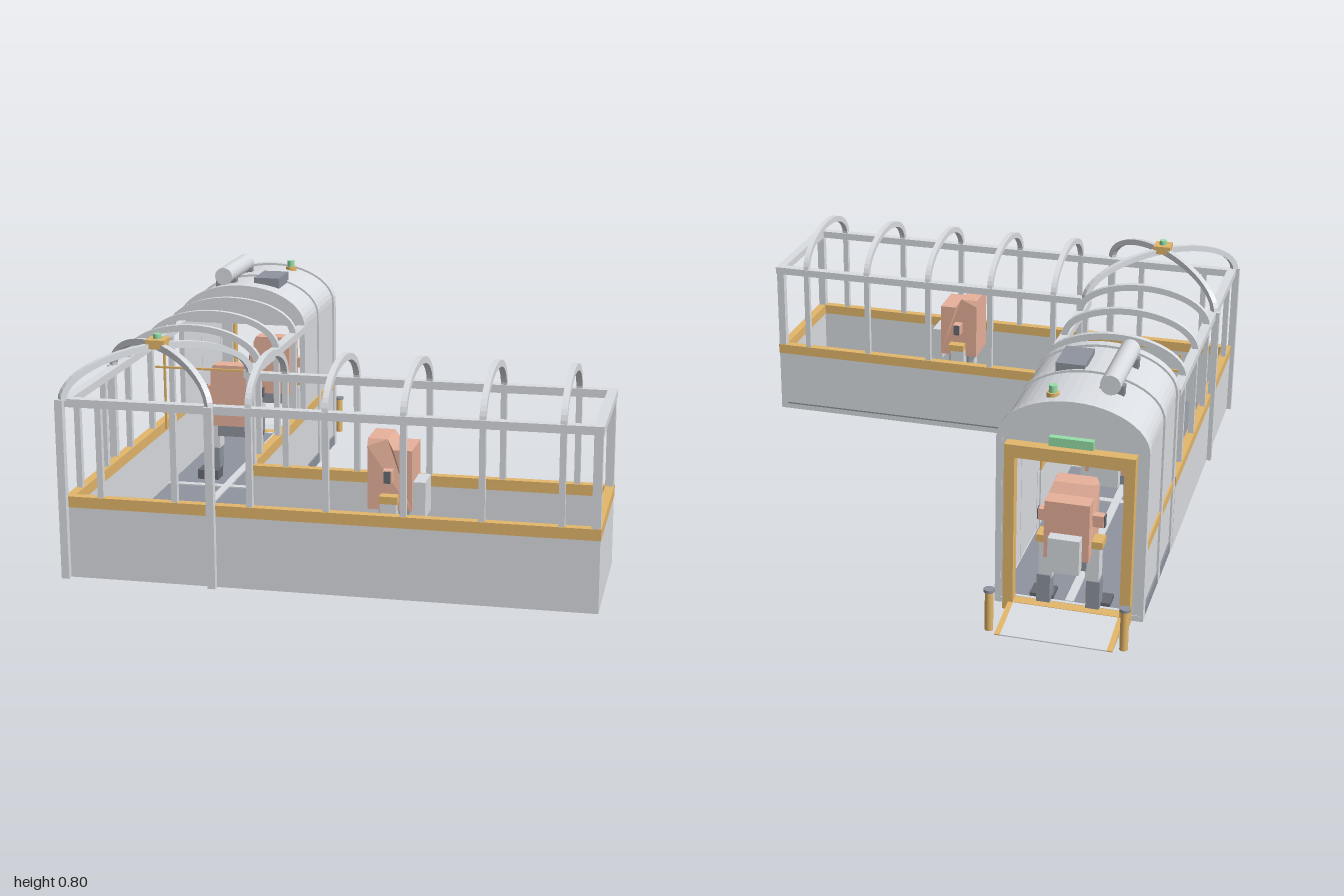
import * as THREE from 'three';

const mat = (name, color) => {
  const m = new THREE.MeshStandardMaterial({ color });
  m.name = name;
  return m;
};

export function createModel() {
  const M = {
    grey: mat('light grey', 0xdadde2), dark: mat('slate grey', 0x8f949e),
    ochre: mat('ochre', 0xe4b76b), coral: mat('coral', 0xeab39c),
    green: mat('green', 0x96dfa8), black: mat('charcoal', 0x666a72),
  };
  const model = new THREE.Group();
  model.name = 'lShapedTunnel';
  const add = (name, geo, m, parent = model) => {
    const mesh = new THREE.Mesh(geo, m);
    mesh.name = name;
    parent.add(mesh);
    return mesh;
  };
  // box given by its limits
  const box = (name, m, x0, x1, y0, y1, z0, z1, parent) => {
    const g = new THREE.BoxGeometry(x1 - x0, y1 - y0, z1 - z0);
    g.translate((x0 + x1) / 2, (y0 + y1) / 2, (z0 + z1) / 2);
    return add(name, g, m, parent);
  };
  const cyl = (name, m, r, h, x, y, z, sides = 16) => {
    const c = add(name, new THREE.CylinderGeometry(r, r, h, sides), m);
    c.position.set(x, y, z);
    return c;
  };
  const extrude = (shape, depth, curveSegments = 12) => {
    const g = new THREE.ExtrudeGeometry(shape, { depth, bevelEnabled: false, curveSegments });
    return g.translate(0, 0, -depth / 2);
  };
  // half ring rib standing on the rail
  const arch = (name, rx, ry, x, z, turn) => {
    const s = new THREE.Shape(), t = 0.023;
    s.moveTo(rx, 0);
    s.absellipse(0, 0, rx, ry, 0, Math.PI, false);
    s.lineTo(-rx + t, 0);
    s.absellipse(0, 0, rx - t, ry - t, Math.PI, 0, true);
    const a = add(name, extrude(s, 0.02), M.grey);
    a.position.set(x, 0.6, z);
    a.rotation.y = turn;
  };

  const CX = -0.615, CZ = 0.735; // corner centre
  const XL = -0.865, XR = -0.365, ZF = 0.976, ZB = 0.485, XE = 0.877, ZC = -0.265, T = 0.026;

  // base slabs, dark floor plates and walkway strips
  box('longBase', M.grey, XL, XE, 0, 0.02, ZB, ZF);
  box('sideBase', M.grey, XL + 0.008, XR - 0.008, 0, 0.02, -0.79, ZB);
  box('longFloor', M.dark, XL + T, XE - T, 0.02, 0.026, ZB, ZF - T);
  box('sideFloor', M.dark, XL + T, XR - T, 0.02, 0.026, -0.775, ZB);
  box('longWalkway', M.grey, CX, XE - T, 0.026, 0.032, CZ - 0.014, CZ + 0.014);
  box('sideWalkway', M.grey, CX - 0.014, CX + 0.014, 0.026, 0.032, -0.775, ZF - T);
  for (const x of [-0.37, -0.12, 0.13, 0.38, 0.63]) box('floorStrip', M.grey, x - 0.013, x + 0.013, 0.026, 0.031, ZB + T, ZF - T);
  for (const z of [0.48, 0.23, -0.02]) box('floorStrip', M.grey, XL + T, XR - T, 0.026, 0.031, z - 0.013, z + 0.013);

  // low walls, each with a trim strip and an upper rail
  const walls = [
    [XL, XE, ZF - T, ZF], [XR, XE, ZB, ZB + T], [XE - T, XE, ZB, ZF],
    [XL, XL + T, ZC, ZF], [XR - T, XR, ZC, ZB],
  ];
  for (const [x0, x1, z0, z1] of walls) {
    box('lowWall', M.grey, x0, x1, 0, 0.24, z0, z1);
    box('wallTrim', M.ochre, x0 - 0.002, x1 + 0.002, 0.24, 0.277, z0 - 0.002, z1 + 0.002);
    box('upperRail', M.grey, x0 - 0.003, x1 + 0.003, 0.578, 0.605, z0 - 0.003, z1 + 0.003);
  }

  // window posts and roof arches
  const post = (x, z, w = 0.01) => box('windowPost', M.grey, x - w, x + w, 0.277, 0.59, z - w, z + w);
  for (const x of [-0.745, -0.495, -0.245, 0.005, 0.255, 0.505, 0.755]) {
    post(x, ZF - 0.012);
    if (x < -0.4) continue;
    post(x, ZB + 0.012);
    arch('longArch', 0.245, 0.13, x, CZ - 0.005, Math.PI / 2);
  }
  for (const z of [0.865, 0.615, 0.362, 0.113, -0.135]) {
    post(XL + 0.012, z);
    if (z > 0.5) continue;
    post(XR - 0.012, z);
    arch('sideArch', 0.249, 0.13, CX, z, 0);
  }
  post(XE - 0.014, ZF - 0.014, 0.014);
  post(XE - 0.014, ZB + 0.014, 0.014);

  // corner dome
  for (const x of [-0.868, -0.37]) for (const z of [0.986, 0.486])
    box('cornerPost', M.grey, x - 0.013, x + 0.013, 0, 0.605, z - 0.013, z + 0.013);
  arch('diagonalRib', 0.358, 0.148, CX, CZ, Math.PI / 4);
  arch('diagonalRib', 0.358, 0.148, CX, CZ, -Math.PI / 4);
  box('domeCap', M.ochre, CX - 0.032, CX + 0.032, 0.732, 0.762, CZ - 0.034, CZ + 0.034);
  cyl('domeLamp', M.green, 0.014, 0.02, CX, 0.768, CZ);

  // slim hanging frame beneath an arch
  box('hangingBar', M.ochre, -0.835, -0.395, 0.507, 0.514, 0.109, 0.117);
  box('hangingRod', M.ochre, -0.804, -0.796, 0.277, 0.575, 0.109, 0.117);

  // closed cabin: shell, bands and end walls
  const tunnel = (w, top, y0 = 0, Type = THREE.Shape) => {
    const s = new Type();
    s.moveTo(-w, y0);
    s.lineTo(w, y0);
    s.lineTo(w, 0.6);
    s.absellipse(0, 0.6, w, top - 0.6, 0, Math.PI, false);
    s.lineTo(-w, y0);
    return s;
  };
  const section = (name, w, top, t, depth, z) => {
    const s = tunnel(w, top);
    s.holes.push(tunnel(w - t, top - t, 0.02, THREE.Path));
    add(name, extrude(s, depth), M.grey).position.set(CX, 0, z);
  };
  section('cabinShell', 0.242, 0.742, 0.012, 0.52, -0.527);
  for (const z of [-0.282, -0.51, -0.772]) section('cabinBand', 0.249, 0.75, 0.02, 0.034, z);
  const lunette = new THREE.Shape();
  lunette.moveTo(0.235, 0.6);
  lunette.absellipse(0, 0.6, 0.235, 0.135, 0, Math.PI, false);
  add('frontLunette', extrude(lunette, 0.01), M.grey).position.set(CX, 0, -0.275);
  const rect = (Type, w, y0, y1) => new Type([[-w, y0], [w, y0], [w, y1], [-w, y1]].map(p => new THREE.Vector2(...p)));
  const endWall = tunnel(0.235, 0.735);
  endWall.holes.push(rect(THREE.Path, 0.185, 0.03, 0.557));
  add('rearWall', extrude(endWall, 0.012), M.grey).position.set(CX, 0, -0.782);
  const frame = rect(THREE.Shape, 0.212, 0, 0.597);
  frame.holes.push(rect(THREE.Path, 0.178, 0.03, 0.553));
  add('doorFrame', extrude(frame, 0.04), M.ochre).position.set(CX, 0, -0.81);
  box('doorLight', M.green, CX - 0.072, CX + 0.072, 0.6, 0.63, -0.81, -0.788);

  // painted side plates
  for (const s of [-1, 1]) for (const [z0, z1] of [[-0.49, -0.3], [-0.752, -0.53]]) {
    const x = CX + s * 0.244;
    box('sideStripe', M.ochre, x - 0.004, x + 0.004, 0.24, 0.275, z0, z1);
    box('sideKickPlate', M.dark, x - 0.004, x + 0.004, 0.002, 0.04, z0, z1);
  }

  // rooftop equipment
  cyl('roofTank', M.grey, 0.034, 0.32, -0.705, 0.766, -0.505).rotation.x = Math.PI / 2;
  for (const z of [-0.62, -0.39]) box('tankBracket', M.dark, -0.745, -0.665, 0.715, 0.755, z - 0.015, z + 0.015);
  box('roofHatch', M.dark, -0.59, -0.492, 0.715, 0.762, -0.52, -0.368);
  cyl('beaconBase', M.ochre, 0.021, 0.03, -0.532, 0.731, -0.717);
  cyl('beacon', M.green, 0.014, 0.04, -0.532, 0.75, -0.717);

  // boarding ramp with bollards
  const side = new THREE.Shape([[0.82, 0], [1, 0], [1, 0.004], [0.82, 0.03]].map(p => new THREE.Vector2(...p)));
  const ramp = (name, m, x, w) => {
    const g = extrude(side, w).rotateY(Math.PI / 2);
    add(name, g, m).position.x = x;
  };
  ramp('ramp', M.grey, CX, 0.35);
  ramp('rampEdge', M.ochre, CX - 0.184, 0.018);
  ramp('rampEdge', M.ochre, CX + 0.184, 0.018);
  for (const x of [-0.838, -0.396]) {
    cyl('bollard', M.ochre, 0.014, 0.14, x, 0.07, -0.97);
    cyl('bollardCap', M.dark, 0.018, 0.01, x, 0.144, -0.97);
  }

  // stocky walking machine, facing +z
  const walker = (x, y, z, turn) => {
    const g = new THREE.Group();
    g.name = 'walker';
    const profile = new THREE.Shape([[-0.072, 0.22], [0.075, 0.22], [0.075, 0.432], [0.075, 0.455], [0.01, 0.455], [-0.01, 0.422], [-0.072, 0.422]]
      .map(p => new THREE.Vector2(...p)));
    const body = extrude(profile, 0.148).rotateY(-Math.PI / 2);
    const p = body.attributes.position;
    for (let i = 0; i < p.count; i++) if (p.getY(i) > 0.44) p.setX(i, p.getX(i) * 0.85);
    body.computeVertexNormals();
    add('walkerBody', body, M.coral, g);
    box('walkerPack', M.grey, -0.052, 0.052, 0.19, 0.312, -0.112, -0.072, g);
    box('walkerHips', M.dark, -0.06, 0.06, 0.17, 0.22, -0.04, 0.04, g);
    for (const s of [-1, 1]) {
      const b = (name, m, a, c, ...rest) => box(name, m, Math.min(s * a, s * c), Math.max(s * a, s * c), ...rest, g);
      b('walkerArm', M.coral, 0.07, 0.108, 0.32, 0.36, -0.012, 0.018);
      b('walkerArmEnd', M.black, 0.108, 0.112, 0.32, 0.36, -0.008, 0.014);
      b('walkerHipGuard', M.ochre, 0.06, 0.11, 0.25, 0.275, -0.03, 0.03);
      b('walkerThigh', M.grey, 0.055, 0.1, 0.12, 0.25, -0.025, 0.03);
      b('walkerShin', M.dark, 0.06, 0.105, 0.03, 0.13, -0.03, 0.025);
      b('walkerFoot', M.black, 0.055, 0.135, 0, 0.04, 0, 0.068);
    }
    g.position.set(x, y, z);
    g.rotation.y = turn;
    model.add(g);
  };
  walker(CX, 0.022, -0.165, 0);
  walker(0.18, 0.022, CZ - 0.005, -Math.PI / 2);
  walker(CX, 0, -0.772, 0);

  return model;
}
